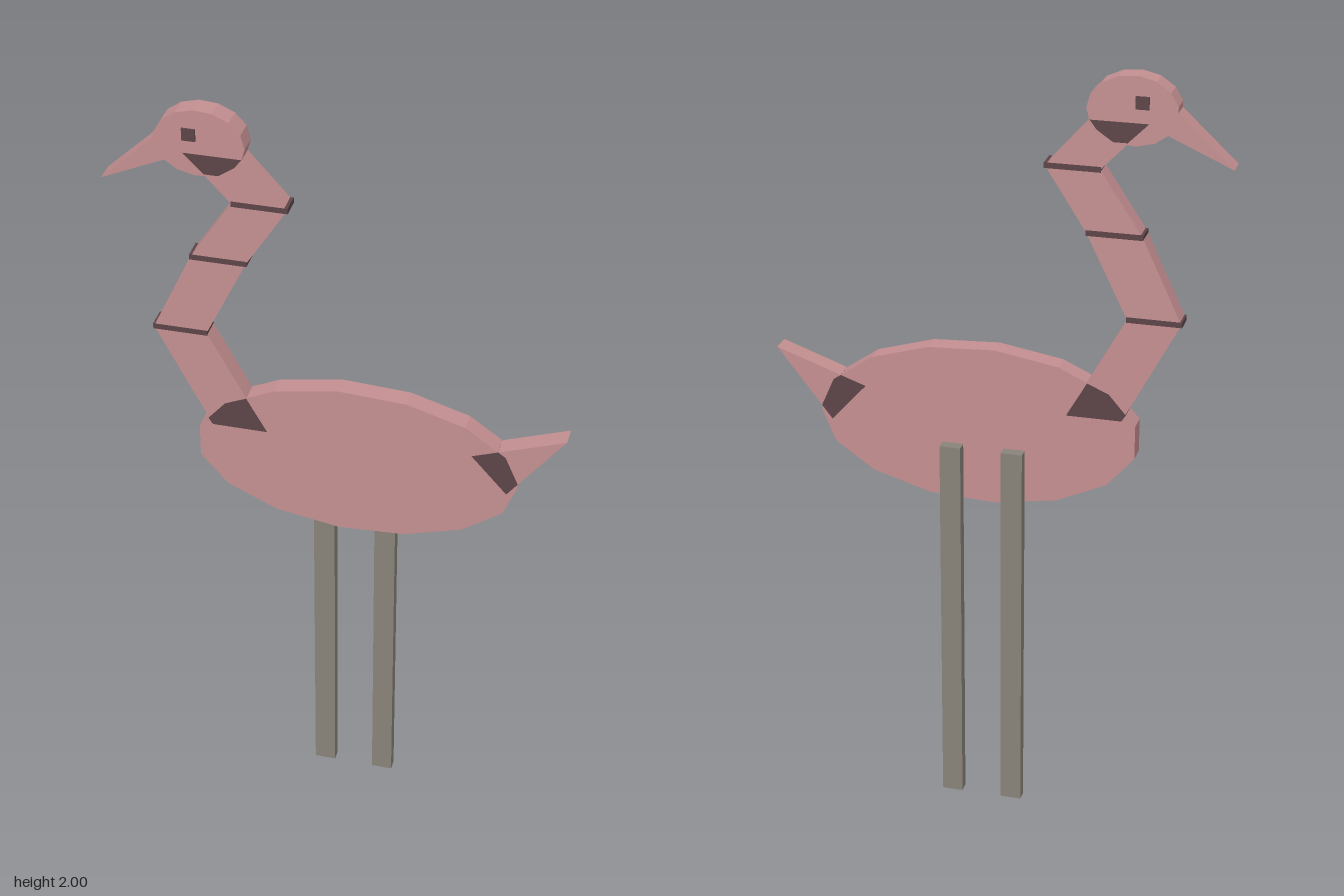
import * as THREE from 'three';

export function createModel() {
  const model = new THREE.Group();
  model.name = 'wadingBird';
  const mat = (name, color) => {
    const m = new THREE.MeshStandardMaterial({ color });
    m.name = name;
    return m;
  };
  const pink = mat('dustyPink', 0xc48f91);
  const grey = mat('legGrey', 0x88837a);
  const dark = mat('darkBrown', 0x5c4447);
  const BACK = -0.016, FRONT = 0.037;

  // Flat cut-out between the back and front planes, optionally standing proud
  function slab(name, points, material, proud = 0) {
    const pts = points.map(([x, y]) => new THREE.Vector2(x, y));
    const geo = new THREE.ExtrudeGeometry(new THREE.Shape(pts), {
      depth: FRONT - BACK + 2 * proud, bevelEnabled: false,
    });
    geo.translate(0, 0, BACK - proud);
    const mesh = new THREE.Mesh(geo, material);
    mesh.name = name;
    model.add(mesh);
  }

  function box(name, x0, x1, y0, y1, z0, z1, material) {
    const mesh = new THREE.Mesh(new THREE.BoxGeometry(x1 - x0, y1 - y0, z1 - z0), material);
    mesh.position.set((x0 + x1) / 2, (y0 + y1) / 2, (z0 + z1) / 2);
    mesh.name = name;
    model.add(mesh);
  }

  // Fifteen-sided ovals for body and head
  const oval = (cx, cy, rx, ry) => Array.from({ length: 15 }, (_, i) => {
    const a = (i / 15) * Math.PI * 2;
    return [cx + rx * Math.cos(a), cy + ry * Math.sin(a)];
  });
  slab('body', oval(0.047, 1.065, 0.411, 0.21), pink);
  slab('head', oval(-0.33, 1.914, 0.111, 0.086), pink);

  // Zigzag neck: each level is [left x, right x, y]
  const neck = [
    [-0.32, -0.18, 1.12], [-0.462, -0.328, 1.39], [-0.362, -0.224, 1.603],
    [-0.255, -0.12, 1.764], [-0.37, -0.228, 1.885],
  ];
  for (let i = 0; i < neck.length - 1; i++) {
    const [l0, r0, y0] = neck[i], [l1, r1, y1] = neck[i + 1];
    slab('neckSegment' + (i + 1), [[l0, y0], [r0, y0], [r1, y1], [l1, y1]], pink);
  }

  // Dark bands at the neck bends
  neck.slice(1, 4).forEach(([l, r, y], i) =>
    box('neckBand' + (i + 1), l - 0.002, r + 0.002, y - 0.007, y + 0.007,
      BACK - 0.001, FRONT + 0.001, dark));

  // Beak and tail
  slab('beak', [[-0.575, 1.79], [-0.41, 1.863], [-0.425, 1.93]], pink);
  slab('tail', [[0.34, 1.14], [0.43, 1.04], [0.572, 1.222]], pink);

  // Dark joints where the neck and tail meet the body and head
  slab('neckBaseJoint', [[-0.32, 1.12], [-0.18, 1.12], [-0.232, 1.212],
    [-0.287, 1.188], [-0.331, 1.137]], dark, 0.001);
  slab('headJoint', [[-0.37, 1.885], [-0.228, 1.885], [-0.245, 1.862],
    [-0.285, 1.835], [-0.32, 1.835]], dark, 0.001);
  slab('tailJoint', [[0.34, 1.14], [0.43, 1.04], [0.457, 1.075],
    [0.424, 1.15], [0.405, 1.163]], dark, 0.001);

  // Eye bar passing through the head
  box('eye', -0.37, -0.337, 1.92, 1.951, BACK - 0.005, FRONT + 0.005, dark);

  // Legs behind the body
  box('rightLeg', -0.075, -0.02, 0, 1.01, -0.045, BACK, grey);
  box('leftLeg', 0.085, 0.139, 0, 1.01, -0.045, BACK, grey);

  return model;
}
